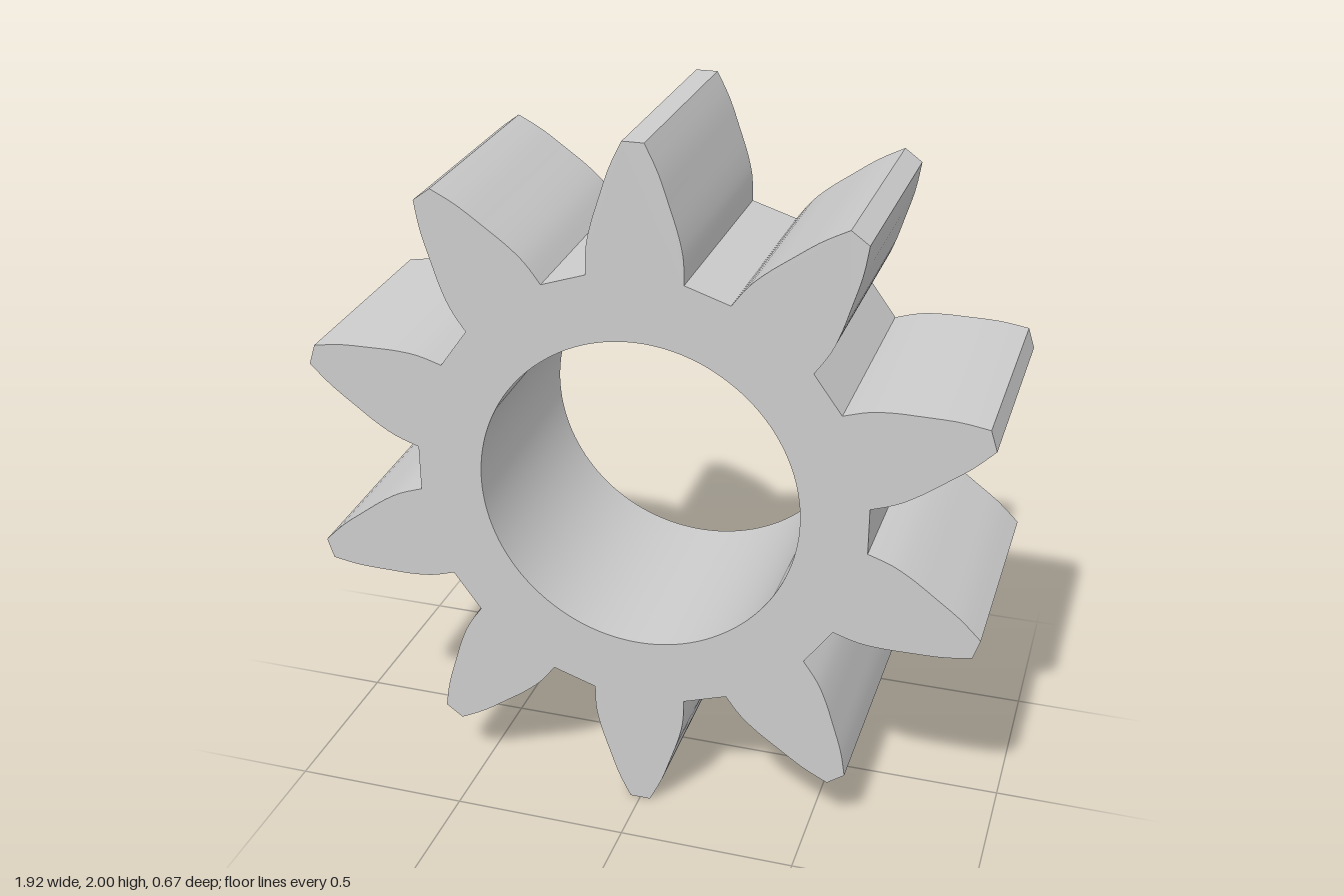
import * as THREE from 'three';
import { toCreasedNormals } from 'three/addons/utils/BufferGeometryUtils.js';

const TEETH = 10;
const DEPTH = 0.66;
const BORE = 0.457;

// One flank of a tooth: x = half width, y = distance from the gear centre
const flank = new THREE.SplineCurve([
  [0.135, 0.63], [0.133, 0.70], [0.119, 0.765], [0.096, 0.835], [0.066, 0.92], [0.03, 0.9925],
].map(([x, y]) => new THREE.Vector2(x, y))).getPoints(14);

// Ten teeth around the centre, joined by straight valley floors
function gearShape() {
  const tooth = [
    ...flank.map((p) => new THREE.Vector2(p.x, p.y)),
    ...flank.map((p) => new THREE.Vector2(-p.x, p.y)).reverse(),
  ];
  const outline = [];
  const centre = new THREE.Vector2();
  for (let i = 0; i < TEETH; i++) {
    const angle = (i / TEETH) * Math.PI * 2;
    for (const p of tooth) outline.push(p.clone().rotateAround(centre, angle));
  }
  const shape = new THREE.Shape(outline);
  shape.holes.push(new THREE.Path().absarc(0, 0, BORE, 0, Math.PI * 2, true));
  return shape;
}

export function createModel() {
  const group = new THREE.Group();
  group.name = 'gear';

  let geometry = new THREE.ExtrudeGeometry(gearShape(), {
    depth: DEPTH, bevelEnabled: false, curveSegments: 64,
  });
  geometry.translate(0, 0, -DEPTH / 2);

  // Slight skew: the back sits higher and a touch wider, the faces lean a little
  const pos = geometry.attributes.position;
  for (let i = 0; i < pos.count; i++) {
    const x = pos.getX(i), y = pos.getY(i), z = pos.getZ(i);
    const back = -z / DEPTH;
    const spread = 0.01 * THREE.MathUtils.clamp(x / 0.25, -1, 1);
    pos.setXYZ(i, x + spread * back, y + 1 + 0.016 * back, z + 0.005 * y);
  }
  geometry = toCreasedNormals(geometry, 0.4);

  const gear = new THREE.Mesh(geometry, new THREE.MeshStandardMaterial({ color: 0xcccccc }));
  gear.name = 'toothedRing';
  group.add(gear);
  return group;
}
